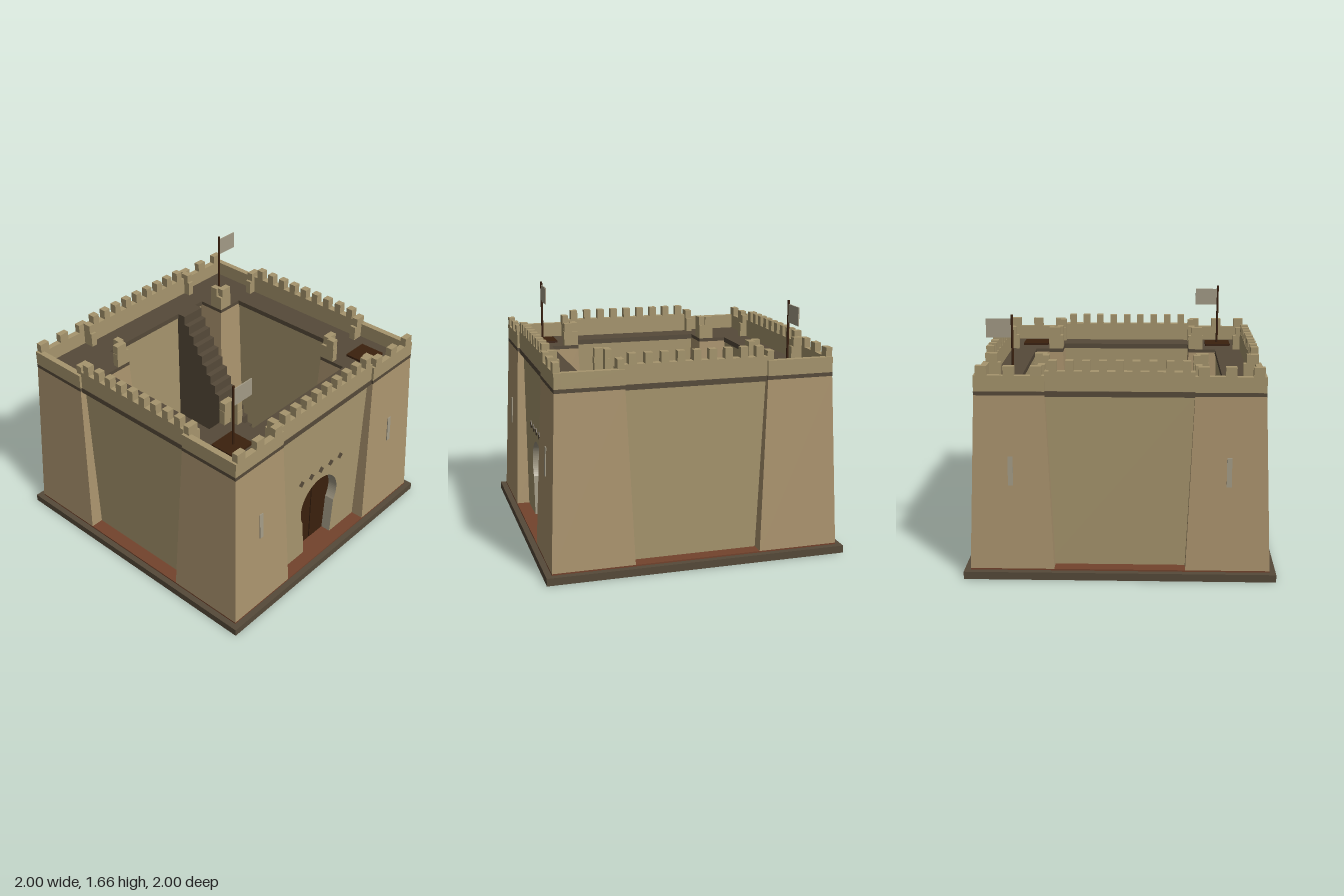
import * as THREE from 'three';

const mat = (name, color, extra = {}) => {
  const m = new THREE.MeshStandardMaterial({ color, ...extra });
  m.name = name;
  return m;
};

export function createModel() {
  const root = new THREE.Group();
  root.name = 'fort';
  const wall = mat('wall sandstone', 0xa6956d);
  const tower = mat('tower sandstone', 0xab946e, { flatShading: true });
  const dark = mat('dark stone', 0x564a39);
  const earth = mat('red earth', 0x73432c);
  const wood = mat('dark wood', 0x3a200d);
  const grey = mat('pale grey', 0xa39b86, { side: THREE.DoubleSide });

  const add = (parent, name, geometry, material) => {
    const mesh = new THREE.Mesh(geometry, material);
    mesh.name = name;
    parent.add(mesh);
    return mesh;
  };
  // Box given by its extents; opposite corners may come in any order
  const box = (parent, name, material, x0, x1, y0, y1, z0, z1) => {
    const g = new THREE.BoxGeometry(Math.abs(x1 - x0), Math.abs(y1 - y0), Math.abs(z1 - z0));
    const mesh = add(parent, name, g, material);
    mesh.position.set((x0 + x1) / 2, (y0 + y1) / 2, (z0 + z1) / 2);
    return mesh;
  };
  const group = (name) => {
    const g = new THREE.Group();
    g.name = name;
    root.add(g);
    return g;
  };

  // Plinth and courtyard floor
  box(root, 'plinth', dark, -1, 1, 0, 0.05, -1, 1);
  box(root, 'courtyardFloor', earth, -0.96, 0.96, 0.05, 0.06, -0.96, 0.96);

  // Corner towers with battlements
  const bodyBottom = 0.06, bodyTop = 1.195, deck = 1.22, rim = 1.32, merlonTop = 1.38;
  for (const sx of [-1, 1]) for (const sz of [-1, 1]) {
    const t = group('cornerTower');
    const b = (name, m, x0, x1, y0, y1, z0, z1) =>
      box(t, name, m, sx * x0, sx * x1, y0, y1, sz * z0, sz * z1);

    const body = new THREE.CylinderGeometry(0.222 * Math.SQRT2, 0.27 * Math.SQRT2, bodyTop - bodyBottom, 4);
    body.rotateY(Math.PI / 4);
    add(t, 'towerBody', body, tower).position.set(sx * 0.69, (bodyBottom + bodyTop) / 2, sz * 0.69);
    b('towerDeck', dark, 0.467, 0.913, bodyTop, deck, 0.467, 0.913);

    // Outer parapets
    b('frontParapet', wall, 0.468, 0.912, deck, rim, 0.87, 0.912);
    b('sideParapet', wall, 0.87, 0.912, deck, rim, 0.468, 0.87);
    for (const x of [0.52, 0.69, 0.862])
      b('towerMerlon', wall, x - 0.035, x + 0.035, rim, merlonTop, 0.87, 0.912);

    // Short parapets either side of the openings to the wall walks
    b('innerStub', wall, 0.468, 0.512, deck, rim, 0.795, 0.87);
    b('innerStub', wall, 0.795, 0.87, deck, rim, 0.468, 0.512);
    b('cornerStub', wall, 0.468, 0.57, deck, rim, 0.468, 0.512);
    b('cornerStub', wall, 0.468, 0.512, deck, rim, 0.512, 0.57);
    b('stubMerlon', wall, 0.468, 0.512, rim, merlonTop, 0.81, 0.87);
    b('stubMerlon', wall, 0.815, 0.893, rim, merlonTop, 0.468, 0.512);
    b('stubMerlon', wall, 0.486, 0.567, rim, merlonTop, 0.468, 0.512);
    b('stubMerlon', wall, 0.468, 0.512, rim, merlonTop, 0.512, 0.567);

    // Arrow slit on the sloping face
    const slit = b('arrowSlit', grey, 0.674, 0.706, 0.615, 0.805, 0.933, 0.939);
    slit.rotation.x = -sz * Math.atan(0.048 / (bodyTop - bodyBottom));
  }

  // Walls: each made facing +z, then turned to its side
  const sides = ['front', 'right', 'back', 'left'];
  sides.forEach((side, i) => {
    const w = group(side + 'Wall');
    w.rotation.y = i * Math.PI / 2;
    if (side === 'front') {
      // Gate wall with a keyhole arch
      const r = 0.197, a = Math.asin(0.1 / r), cx = r * Math.cos(a);
      const s = new THREE.Shape();
      s.moveTo(-0.47, 0.06);
      s.lineTo(-0.15, 0.06);
      s.lineTo(-cx, 0.34);
      s.absarc(0, 0.44, r, Math.PI + a, -a, true);
      s.lineTo(0.15, 0.06);
      s.lineTo(0.47, 0.06);
      s.lineTo(0.47, 1.185);
      s.lineTo(-0.47, 1.185);
      const g = new THREE.ExtrudeGeometry(s, { depth: 0.2, bevelEnabled: false, curveSegments: 28 });
      add(w, 'gateWall', g, [wall, grey]).position.z = 0.67;
    } else {
      box(w, 'wallBody', wall, -0.47, 0.47, 0.06, 1.185, 0.67, 0.87);
    }
    box(w, 'wallWalk', dark, -0.468, 0.468, 1.185, deck, 0.663, 0.9);
    box(w, 'wallParapet', wall, -0.468, 0.468, deck, 1.345, 0.845, 0.896);
    for (let k = -4; k <= 4; k++)
      box(w, 'wallMerlon', wall, k * 0.104 - 0.025, k * 0.104 + 0.025, 1.345, 1.413, 0.845, 0.896);
  });

  // Gate leaves and the row of diamonds above
  for (const s of [-1, 1])
    box(root, 'gateLeaf', wood, s * 0.005, s * 0.2, 0.06, 0.555, 0.77, 0.8);
  for (let k = -2; k <= 2; k++) {
    const d = box(root, 'diamond', dark, k * 0.104 - 0.019, k * 0.104 + 0.019, 0.696, 0.734, 0.868, 0.876);
    d.rotation.z = Math.PI / 4;
  }

  // Stairs from the courtyard up to the back wall walk
  const stairs = group('stairs');
  const steps = 16, run = 0.685 / steps, rise = (deck - 0.06) / (steps + 1);
  for (let k = 0; k < steps; k++) {
    const z = 0.085 - k * run;
    box(stairs, 'step', dark, 0.215, 0.395, 0.06, 0.06 + (k + 1) * rise, z - run, z);
  }
  box(stairs, 'landing', dark, 0.215, 0.395, 0.06, deck, -0.67, -0.6);

  // Courtyard shed and crates
  box(root, 'shed', wood, -0.495, -0.23, 0.06, 0.36, -0.525, 0.18);
  box(root, 'crate', wood, -0.23, -0.147, 0.06, 0.18, -0.275, -0.155);
  box(root, 'crate', wood, 0.143, 0.215, 0.06, 0.18, -0.275, -0.155);

  // Hatches on the front towers
  for (const x of [-0.69, 0.684])
    box(root, 'hatch', wood, x - 0.092, x + 0.092, deck, 1.235, 0.595, 0.77);

  // Flags on two opposite towers
  for (const s of [-1, 1]) {
    const f = group('flag');
    f.position.set(s * 0.688, 0, -s * 0.69);
    add(f, 'flagPole', new THREE.CylinderGeometry(0.008, 0.008, 0.445, 10), wood).position.y = 1.4425;
    box(f, 'flagCloth', grey, 0.005, 0.165, 1.52, 1.64, -0.004, 0.004);
  }
  return root;
}
